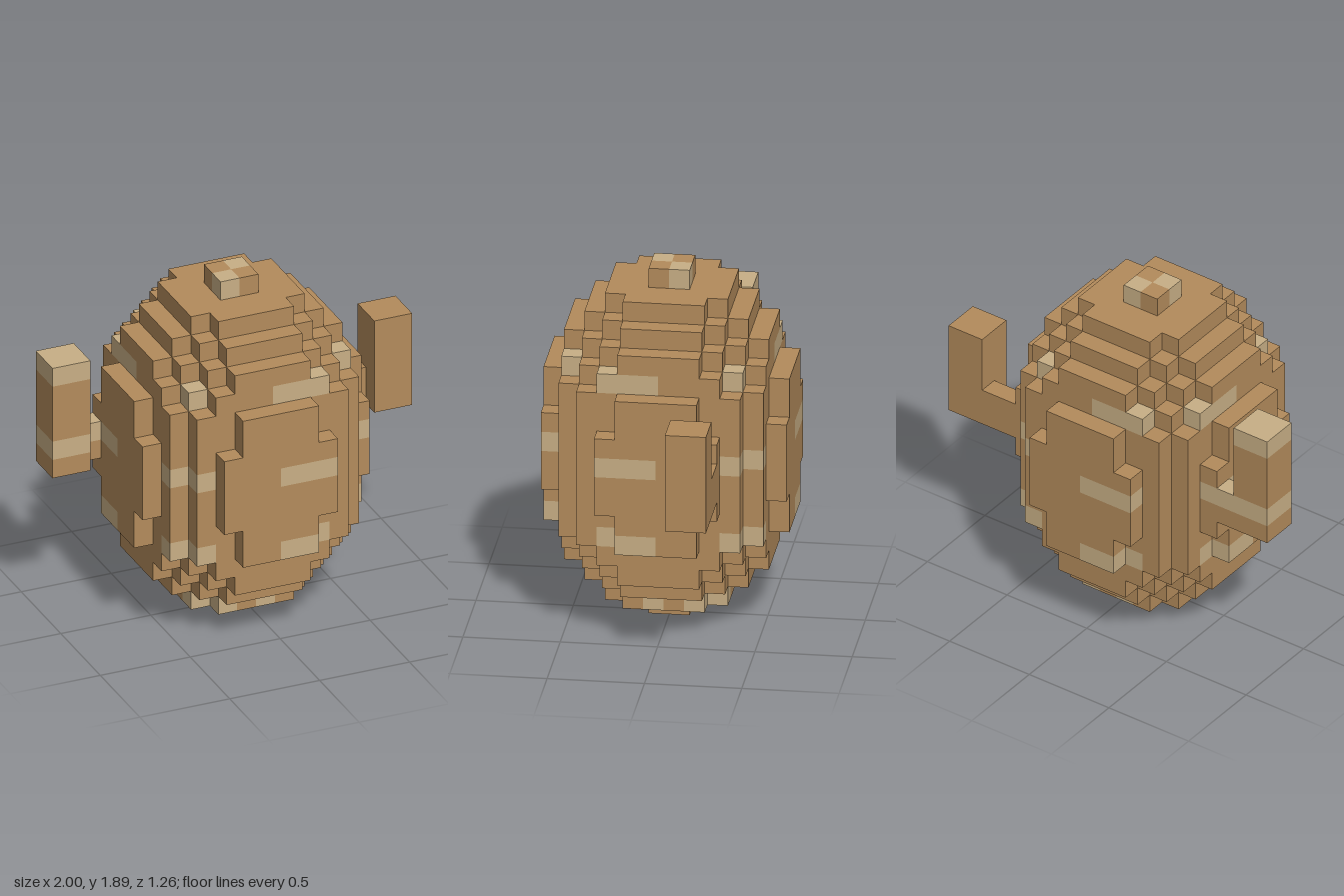
import * as THREE from 'three';
import { mergeGeometries } from 'three/addons/utils/BufferGeometryUtils.js';

const U = 2 / 19; // edge of one block

// Squared radius of each layer, by distance from the middle layer
const RADIUS_SQ = [38, 38, 34, 34, 28, 24, 16, 10, 1];

// Cells: x -9..9 (block grid), y 0..17, z 0..11; body axis lies half a block right of centre
const fromAxis = (x, z) => [x + 1, z - 5.5 + 0];
const inBox = (x, y, z, b) =>
  x >= b[0] && x <= b[1] && y >= b[2] && y <= b[3] && z >= b[4] && z <= b[5];

// Arm and upright of each handle: [x0, x1, y0, y1, z0, z1]
const HANDLES = {
  leftHandle: [[6, 7, 8, 9, 3, 3], [8, 9, 8, 12, 3, 4]],
  rightHandle: [[-7, -7, 8, 9, 3, 3], [-9, -8, 8, 13, 3, 4]],
};

// Name of the part that fills a cell, or null
function partAt(x, y, z) {
  for (const [name, boxes] of Object.entries(HANDLES)) {
    if (boxes.some((b) => inBox(x, y, z, b))) return name;
  }
  if (y < 0 || y > 17) return null;
  const dx = x + 0.5;
  const dz = z - 5.5;
  const layer = Math.floor(Math.abs(y - 8.5));
  if (dx * dx + dz * dz > RADIUS_SQ[layer]) return null;
  return y === 17 ? 'topKnob' : y === 0 ? 'bottomFoot' : 'body';
}

// Every fourth layer carries light patches in alternate 30 degree sectors
function isLight(x, y, z) {
  if (y % 4 !== 1) return false;
  const angle = (Math.atan2(z - 5.5, x + 0.5) * 180) / Math.PI;
  return Math.floor((angle + 360) / 30) % 2 === 0;
}

// One block face for each of the six directions
const FACES = [
  [0, 0, 1, 0, 0], [0, 0, -1, 0, Math.PI],
  [1, 0, 0, 0, Math.PI / 2], [-1, 0, 0, 0, -Math.PI / 2],
  [0, 1, 0, -Math.PI / 2, 0], [0, -1, 0, Math.PI / 2, 0],
].map(([dx, dy, dz, rx, ry]) => ({
  dir: [dx, dy, dz],
  geometry: new THREE.PlaneGeometry(U, U)
    .rotateX(rx)
    .rotateY(ry)
    .translate((dx * U) / 2, (dy * U) / 2, (dz * U) / 2),
}));

export function createModel() {
  const materials = {
    Brown: new THREE.MeshStandardMaterial({ name: 'brown', color: 0xb48c5c }),
    Tan: new THREE.MeshStandardMaterial({ name: 'lightTan', color: 0xc9b086 }),
  };

  // Gather the exposed block faces by part and colour
  const faces = {};
  for (let x = -9; x <= 9; x++) {
    for (let y = 0; y < 18; y++) {
      for (let z = 0; z < 12; z++) {
        const part = partAt(x, y, z);
        if (!part) continue;
        const colour = isLight(x, y, z) ? 'Tan' : 'Brown';
        for (const { dir, geometry } of FACES) {
          if (partAt(x + dir[0], y + dir[1], z + dir[2])) continue;
          faces[part] ??= {};
          (faces[part][colour] ??= []).push(
            geometry.clone().translate(x * U, (y + 0.5) * U, (z - 5.5) * U)
          );
        }
      }
    }
  }

  // One group per part, one mesh per colour
  const model = new THREE.Group();
  model.name = 'blockJar';
  for (const [part, colours] of Object.entries(faces)) {
    const group = new THREE.Group();
    group.name = part;
    for (const [colour, list] of Object.entries(colours)) {
      const mesh = new THREE.Mesh(mergeGeometries(list), materials[colour]);
      mesh.name = part + colour;
      group.add(mesh);
    }
    model.add(group);
  }
  return model;
}
